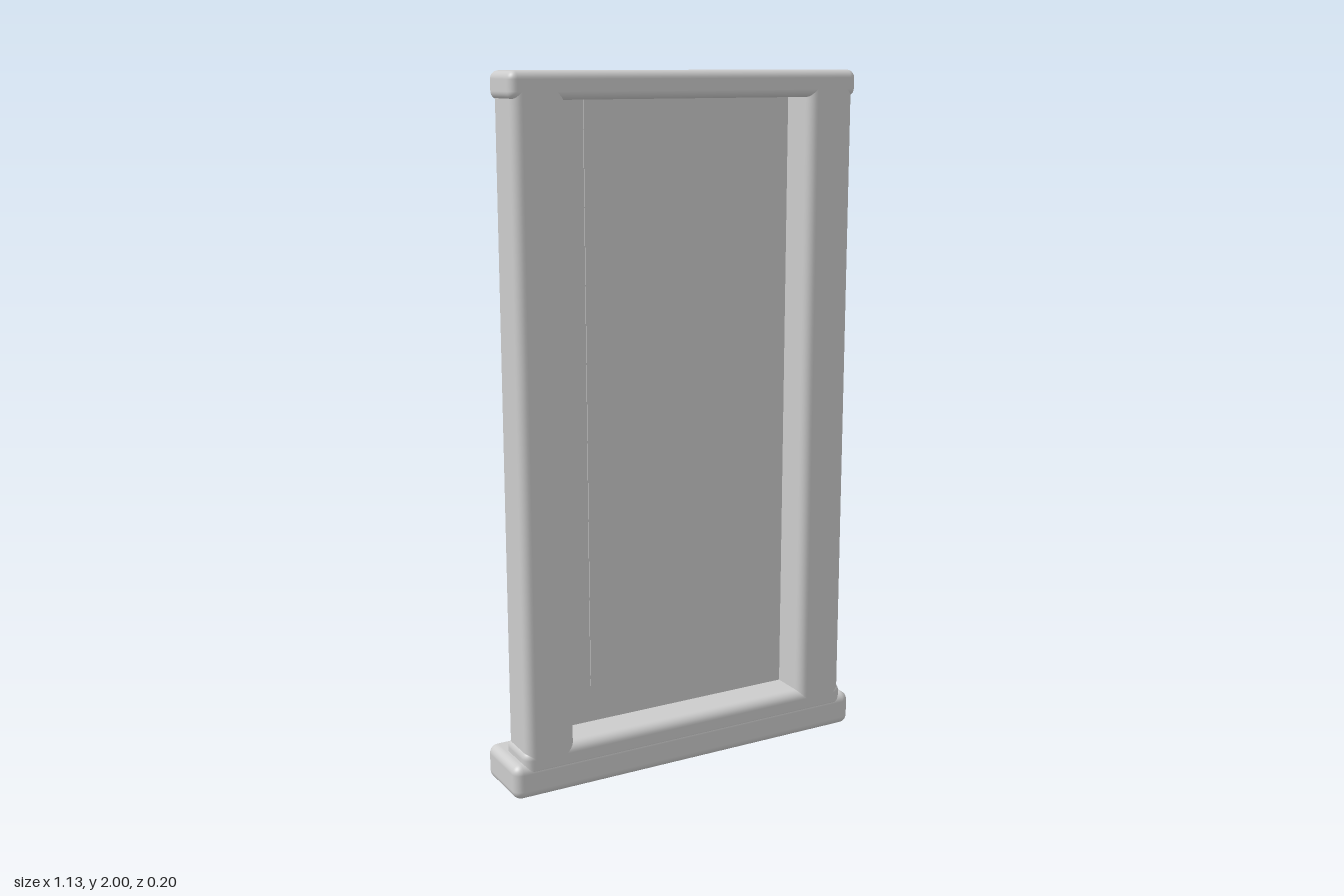
import * as THREE from 'three';
import { RoundedBoxGeometry } from 'three/addons/geometries/RoundedBoxGeometry.js';

export function createModel() {
  const model = new THREE.Group();
  const material = new THREE.MeshStandardMaterial({ color: 0xcccccc });

  // Block between two corners; a radius rounds its edges
  function block(name, [x0, y0, z0], [x1, y1, z1], radius = 0) {
    const size = [x1 - x0, y1 - y0, z1 - z0];
    const geometry = radius
      ? new RoundedBoxGeometry(...size, 4, radius)
      : new THREE.BoxGeometry(...size);
    const mesh = new THREE.Mesh(geometry, material);
    mesh.name = name;
    mesh.position.set((x0 + x1) / 2, (y0 + y1) / 2, (z0 + z1) / 2);
    model.add(mesh);
  }

  // Sill, deeper than the frame towards the back
  block('sill', [-0.567, 0, -0.102], [0.567, 0.102, 0.102], 0.026);

  // Frame
  block('bottomRail', [-0.535, 0.06, -0.04], [0.535, 0.14, 0.102], 0.026);
  block('topRail', [-0.537, 1.925, -0.043], [0.537, 2, 0.102], 0.022);
  block('rightPost', [-0.528, 0.08, -0.038], [-0.38, 1.975, 0.102], 0.026);
  block('leftPost', [0.38, 0.08, -0.038], [0.528, 1.975, 0.102], 0.026);

  // Recessed panel, flush with the back of the frame
  block('panel', [-0.47, 0.09, -0.045], [0.47, 1.96, -0.015]);

  // Thin vertical strip on the panel
  block('strip', [-0.275, 0.25, -0.02], [-0.16, 1.94, -0.012]);

  return model;
}
